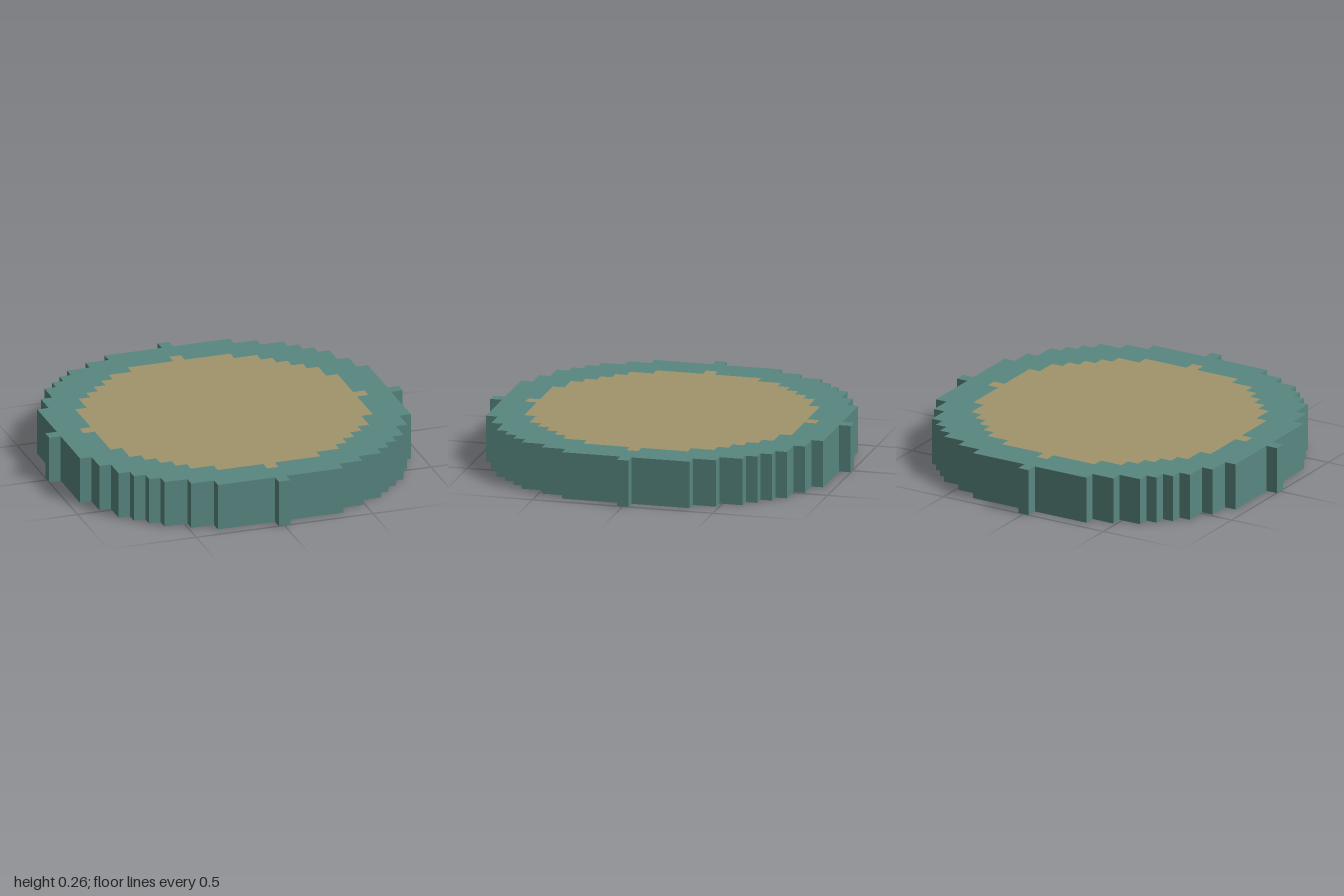
import * as THREE from 'three';

const CELL = 2 / 31; // the disc is 31 blocks across
const HEIGHT = 4 * CELL;

// Stepped outline of a block circle with a radius of r cells
function steppedCircle(r) {
  const right = [];
  let last = -1;
  for (let j = -r; j <= r; j++) {
    const w = Math.floor(Math.sqrt(r * r - j * j)) + 0.5;
    if (w === last) right.pop(); // merge straight runs
    else right.push([w, j - 0.5]);
    right.push([w, j + 0.5]);
    last = w;
  }
  const left = right.map(([x, y]) => [-x, -y]);
  return [...right, ...left].map(([x, y]) => new THREE.Vector2(x * CELL, y * CELL));
}

function slab(name, shape, color) {
  const geometry = new THREE.ExtrudeGeometry(shape, { depth: HEIGHT, bevelEnabled: false });
  geometry.rotateX(-Math.PI / 2);
  const mesh = new THREE.Mesh(geometry, new THREE.MeshStandardMaterial({ color }));
  mesh.name = name;
  return mesh;
}

export function createModel() {
  const group = new THREE.Group();
  group.name = 'blockDisc';

  // Outer ring
  const ring = new THREE.Shape(steppedCircle(15));
  ring.holes.push(new THREE.Path(steppedCircle(12).reverse()));
  group.add(slab('outerRing', ring, 0x598780));

  // Core, flush with the ring on both faces
  group.add(slab('core', new THREE.Shape(steppedCircle(12)), 0xa1946b));

  return group;
}
